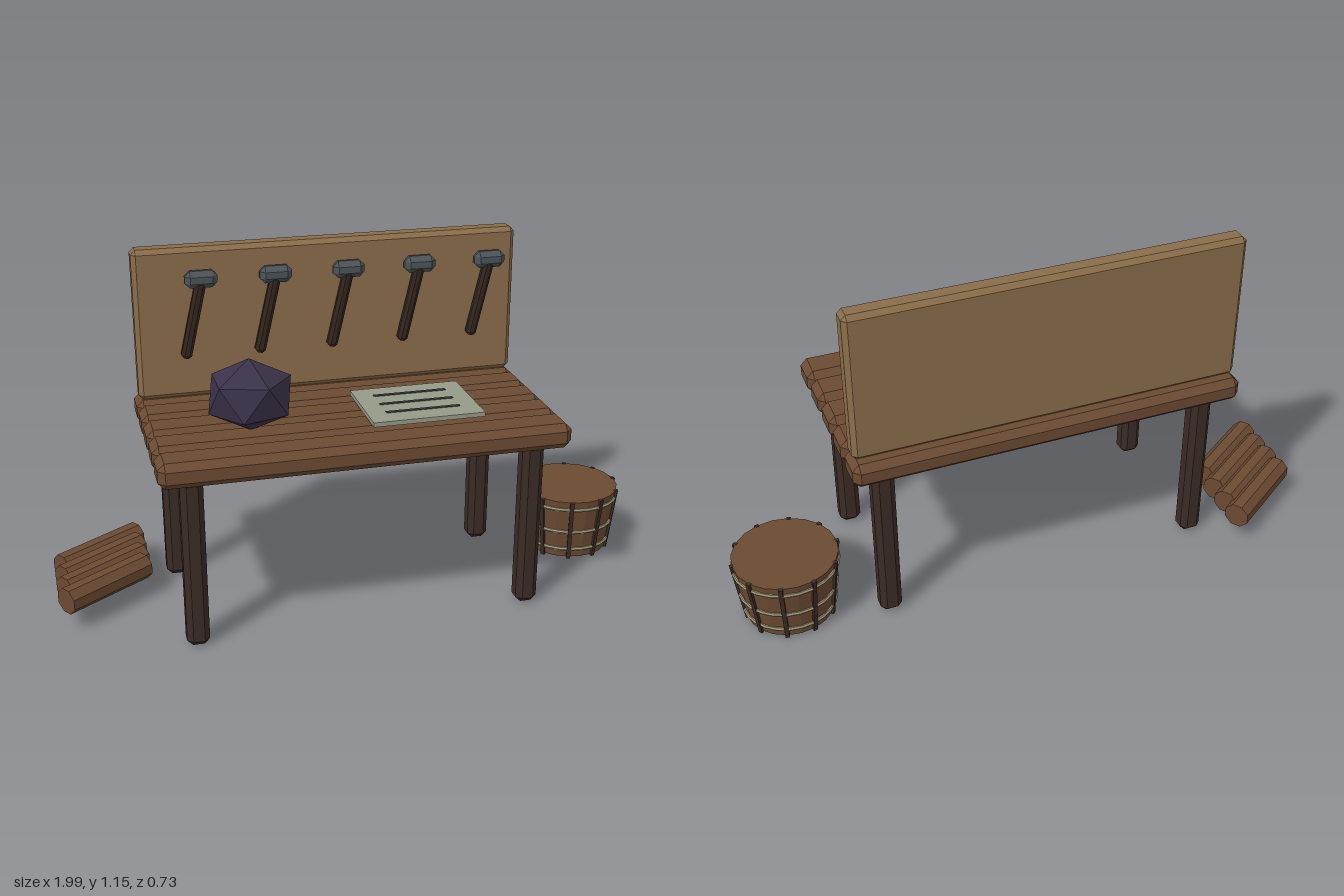
import * as THREE from 'three';
import { ConvexGeometry } from 'three/addons/geometries/ConvexGeometry.js';

const paint = (color) => new THREE.MeshStandardMaterial({ color, flatShading: true });
const wood = paint(0x6b4a32), darkWood = paint(0x3b2b24), boardWood = paint(0x8a6d4a);
const handleWood = paint(0x33261f), steel = paint(0x4c5459), crystal = paint(0x3a3248);
const paper = paint(0x959a88), ink = paint(0x42504f), hoopMetal = paint(0x9a9478);

// Box with all edges chamfered by b
function chamferBox(w, h, d, b) {
  const x = w / 2, y = h / 2, z = d / 2, points = [];
  for (const i of [-1, 1]) for (const j of [-1, 1]) for (const k of [-1, 1]) {
    points.push(
      new THREE.Vector3(i * x, j * (y - b), k * (z - b)),
      new THREE.Vector3(i * (x - b), j * y, k * (z - b)),
      new THREE.Vector3(i * (x - b), j * (y - b), k * z));
  }
  return new ConvexGeometry(points);
}

function add(parent, name, geometry, material, x = 0, y = 0, z = 0) {
  const mesh = new THREE.Mesh(geometry, material);
  mesh.name = name;
  mesh.position.set(x, y, z);
  parent.add(mesh);
  return mesh;
}

function addGroup(parent, name, x = 0, y = 0, z = 0) {
  const group = new THREE.Group();
  group.name = name;
  group.position.set(x, y, z);
  parent.add(group);
  return group;
}

// Table with five planks, four legs and an upright board
function buildTable(model) {
  const table = addGroup(model, 'table', -0.036);
  const plank = chamferBox(1.305, 0.083, 0.127, 0.022);
  for (let i = 0; i < 5; i++) add(table, 'plank', plank, wood, 0, 0.613, 0.301 - i * 0.134);
  const leg = chamferBox(0.072, 0.57, 0.072, 0.018);
  for (const x of [-0.548, 0.548]) {
    add(table, 'frontLeg', leg, darkWood, x, 0.289, 0.275);
    add(table, 'backLeg', leg, darkWood, x, 0.289, -0.212);
  }
  add(table, 'backBoard', chamferBox(1.285, 0.502, 0.073, 0.015), boardWood, 0, 0.905, -0.224);
}

// Row of five tilted hammers hanging on the board
function buildHammers(model) {
  const handle = chamferBox(0.035, 0.27, 0.035, 0.01);
  const head = chamferBox(0.106, 0.056, 0.046, 0.017);
  for (let i = 0; i < 5; i++) {
    const hammer = addGroup(model, 'hammer', -0.463 + i * 0.243, 1.058, -0.168);
    add(hammer, 'hammerHead', head, steel);
    add(hammer, 'hammerHandle', handle, handleWood, -0.029, -0.13, 0).rotation.z = -0.23;
  }
}

// Twenty-sided stone standing on a corner
function buildStone(model) {
  const geometry = new THREE.IcosahedronGeometry(0.135, 0);
  geometry.rotateZ(Math.atan(2 / (1 + Math.sqrt(5))));
  geometry.rotateY(Math.PI);
  geometry.scale(1.08, 0.875, 1);
  add(model, 'stone', geometry, crystal, -0.369, 0.765, 0.13);
}

// Sheet with three written lines
function buildSheet(model) {
  const sheet = addGroup(model, 'sheet', 0.183, 0.666, 0.088);
  add(sheet, 'page', new THREE.BoxGeometry(0.367, 0.015, 0.295), paper);
  for (const z of [-0.077, 0, 0.073]) {
    add(sheet, 'inkLine', new THREE.BoxGeometry(0.245, 0.004, 0.01), ink, 0, 0.009, z);
  }
}

// Tapered tub with hoops and dark ribs
function buildTub(model) {
  const tub = addGroup(model, 'tub', 0.816, 0, -0.093);
  const bottom = 0.145, top = 0.172, low = 0.008, high = 0.23, height = high - low;
  add(tub, 'tubBody', new THREE.CylinderGeometry(top, bottom, height, 20), wood, 0, (low + high) / 2, 0);
  for (const y of [0.04, 0.11, 0.2]) {
    const radius = bottom + (top - bottom) * (y - low) / height;
    add(tub, 'hoop', new THREE.TorusGeometry(radius + 0.001, 0.007, 6, 24), hoopMetal, 0, y, 0).rotation.x = Math.PI / 2;
  }
  const rib = new THREE.BoxGeometry(0.014, 0.228, 0.014);
  rib.rotateX(Math.atan((top - bottom) / height));
  rib.translate(0, 0.117, (top + bottom) / 2);
  for (let i = 0; i < 10; i++) {
    add(tub, 'rib', rib, darkWood).rotation.y = Math.PI / 2 + i * Math.PI / 5;
  }
}

// Four logs lying side by side
function buildLogs(model) {
  const logs = addGroup(model, 'logs', -0.841, 0.102, 0);
  const log = new THREE.CylinderGeometry(0.045, 0.045, 0.325, 8);
  log.rotateY(Math.PI / 8);
  log.rotateZ(Math.PI / 2);
  for (let i = 0; i < 4; i++) add(logs, 'log', log, wood, 0, 0, -0.24 + i * 0.079).rotation.y = 0.6;
}

export function createModel() {
  const model = new THREE.Group();
  model.name = 'workbench';
  buildTable(model);
  buildHammers(model);
  buildStone(model);
  buildSheet(model);
  buildTub(model);
  buildLogs(model);
  return model;
}
